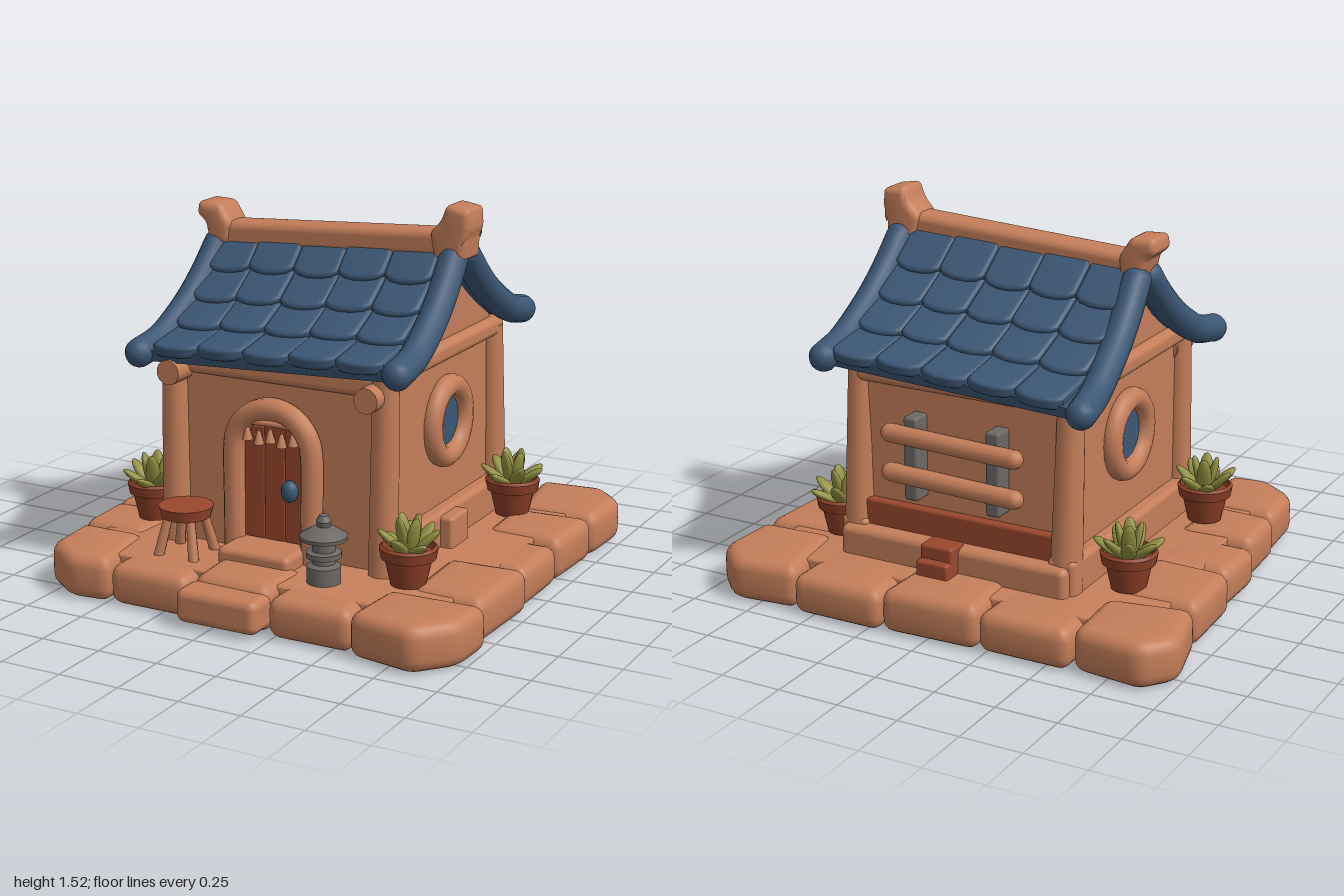
import * as THREE from 'three';
import { toCreasedNormals } from 'three/addons/utils/BufferGeometryUtils.js';
import { RoundedBoxGeometry } from 'three/addons/geometries/RoundedBoxGeometry.js';

const mat = (name, color) => Object.assign(new THREE.MeshStandardMaterial({ color }), { name });
const clay = mat('clay', 0xc47e5a);
const blue = mat('roof blue', 0x3c5775);
const red = mat('door red', 0x9a482e);
const potRed = mat('pot red', 0x8c3f27);
const green = mat('leaf green', 0x918f40);
const grey = mat('stone grey', 0x6c6866);
const V = (x, y, z) => new THREE.Vector3(x, y, z);

function add(parent, name, geo, material, x = 0, y = 0, z = 0) {
  const m = new THREE.Mesh(geo, material);
  m.name = name;
  m.position.set(x, y, z);
  parent.add(m);
  return m;
}

// Soft-edged box given by its two extreme corners
function block(parent, name, material, [x0, y0, z0], [x1, y1, z1], r = 0.02) {
  const g = new RoundedBoxGeometry(x1 - x0, y1 - y0, z1 - z0, 3, r);
  return add(parent, name, g, material, (x0 + x1) / 2, (y0 + y1) / 2, (z0 + z1) / 2);
}

// Round bar between two points
function rod(parent, name, material, a, b, r0, r1 = r0, sides = 14) {
  const d = b.clone().sub(a);
  const m = add(parent, name, new THREE.CylinderGeometry(r1, r0, d.length(), sides), material);
  m.position.copy(a).addScaledVector(d, 0.5);
  m.quaternion.setFromUnitVectors(V(0, 1, 0), d.normalize());
  return m;
}

// Polygon with rounded corners
function softShape(pts, r) {
  const s = new THREE.Shape();
  const P = pts.map(p => new THREE.Vector2(...p));
  P.forEach((p, i) => {
    const prev = P[(i + P.length - 1) % P.length], next = P[(i + 1) % P.length];
    const a = p.clone().add(prev.clone().sub(p).setLength(r));
    const b = p.clone().add(next.clone().sub(p).setLength(r));
    if (i) s.lineTo(a.x, a.y); else s.moveTo(a.x, a.y);
    s.quadraticCurveTo(p.x, p.y, b.x, b.y);
  });
  s.closePath();
  return s;
}

// Extrusion centred on its depth, with rounded edges that stay inside the outline
function solid(shape, depth, bevel) {
  const g = new THREE.ExtrudeGeometry(shape, {
    depth: depth - 2 * bevel, bevelEnabled: bevel > 0, bevelSize: bevel, bevelThickness: bevel,
    bevelOffset: -bevel, bevelSegments: 4, curveSegments: 5,
  });
  g.translate(0, 0, bevel - depth / 2);
  return toCreasedNormals(g, 0.75);
}

// Paving stone from a plan outline in x, z
function paver(parent, name, pts, y0, y1, bevel = 0.05) {
  const g = solid(softShape(pts.map(([x, z]) => [x, -z]), 0.05), y1 - y0, bevel);
  g.rotateX(-Math.PI / 2);
  return add(parent, name, g, clay, 0, (y0 + y1) / 2, 0);
}

function buildBase(root) {
  const base = new THREE.Group();
  base.name = 'base';
  root.add(base);
  paver(base, 'floor', [[-0.85, -0.75], [0.84, -0.78], [0.85, 0.75], [-0.7, 0.72]], 0.015, 0.165, 0.01);
  // Corner stones
  paver(base, 'cornerStone', [[-1, -0.78], [-0.9, -0.91], [-0.61, -0.88], [-0.59, -0.56], [-0.93, -0.5]], 0, 0.18);
  paver(base, 'cornerStone', [[0.58, -0.91], [0.86, -0.94], [0.98, -0.82], [0.97, -0.55], [0.64, -0.53]], 0, 0.18);
  paver(base, 'cornerStone', [[0.6, 0.58], [1, 0.57], [0.99, 0.78], [0.86, 0.93], [0.58, 0.88]], 0, 0.18);
  paver(base, 'cornerStone', [[-0.83, 0.49], [-0.53, 0.49], [-0.48, 0.84], [-0.66, 0.86], [-0.81, 0.75]], 0, 0.18);
  // Edge stones: x0, x1, z0, z1
  const edges = [
    [-0.6, -0.22, -0.9, -0.55], [-0.22, 0.19, -0.92, -0.55], [0.19, 0.58, -0.935, -0.55],
    [0.62, 0.97, -0.53, -0.2], [0.62, 0.96, -0.19, 0.14], [0.65, 0.98, 0.15, 0.56],
    [0.23, 0.58, 0.57, 0.86], [-0.13, 0.23, 0.55, 0.83], [-0.48, -0.13, 0.55, 0.84],
    [-0.86, -0.54, 0.18, 0.49], [-0.89, -0.55, -0.11, 0.17], [-0.93, -0.57, -0.5, -0.12],
  ];
  edges.forEach(([a, b, c, d], i) => {
    const k = 0.015 * (i % 2);
    paver(base, 'edgeStone', [[a, c + k], [b, c], [b - k, d], [a + k, d - k]], 0, 0.165 + k);
  });
  block(base, 'frontStep', clay, [-0.13, 0.02, 0.78], [0.22, 0.155, 0.925], 0.035);
  block(base, 'doorStep', clay, [-0.13, 0.14, 0.4], [0.185, 0.225, 0.615], 0.025);
}

// Roof slopes in z, y from ridge to eave
const slope = pts => new THREE.CatmullRomCurve3(pts.map(([z, y]) => V(0, y, z)));
const slopes = [
  slope([[-0.01, 1.29], [0.12, 1.15], [0.25, 1.05], [0.4, 0.97], [0.52, 0.945]]),
  slope([[-0.1, 1.29], [-0.25, 1.15], [-0.4, 1.05], [-0.55, 0.975], [-0.68, 0.945]]),
];

function buildHouse(root) {
  const house = new THREE.Group();
  house.name = 'house';
  root.add(house);
  // Gabled body following the roof underside
  const outline = [[-0.55, 0.1], [0.42, 0.1], [0.42, 0.93]];
  for (const t of [0.7, 0.5, 0.3, 0.1, 0]) { const p = slopes[0].getPointAt(t); outline.push([p.z, p.y - 0.01]); }
  for (const t of [0, 0.1, 0.3, 0.5, 0.7]) { const p = slopes[1].getPointAt(t); outline.push([p.z, p.y - 0.01]); }
  outline.push([-0.55, 0.93]);
  const body = solid(new THREE.Shape(outline.map(p => new THREE.Vector2(...p))), 0.93, 0);
  body.rotateY(-Math.PI / 2);
  add(house, 'walls', body, clay, 0.04, 0, 0);

  for (const [side, x] of [[-1, -0.42], [1, 0.5]]) {
    rod(house, 'frontPost', clay, V(x, 0.15, 0.43), V(x, 0.94, 0.42), 0.06, 0.052);
    rod(house, 'backPost', clay, V(x, 0.15, -0.56), V(x, 0.94, -0.52), 0.065, 0.052);
    block(house, 'gableBeam', clay, [x - 0.045, 0.895, -0.57], [x + 0.045, 0.975, 0.45], 0.03);
    rod(house, 'beamEnd', clay, V(x - side * 0.03, 0.865, 0.36), V(x - side * 0.03, 0.865, 0.53), 0.05);
    block(house, 'sidePlinth', clay, [x - 0.06, 0.12, -0.61], [x + 0.06, 0.305, 0.44], 0.025);
    // Round window
    const wx = x + side * 0.02;
    const ring = add(house, 'windowRing', new THREE.TorusGeometry(0.143, 0.044, 12, 36), clay, wx, 0.645, -0.08);
    ring.rotation.y = Math.PI / 2;
    const pane = add(house, 'windowPane', new THREE.CylinderGeometry(0.115, 0.115, 0.008, 32), blue, wx - side * 0.005, 0.645, -0.08);
    pane.rotation.z = Math.PI / 2;
  }
  block(house, 'sideBlock', clay, [0.5, 0.15, -0.105], [0.61, 0.29, 0.055], 0.015);
  block(house, 'frontBeam', clay, [-0.42, 0.85, 0.38], [0.5, 0.94, 0.45], 0.03);
  block(house, 'backBeam', clay, [-0.42, 0.86, -0.58], [0.5, 0.94, -0.5], 0.03);

  // Arched door
  const path = new THREE.CurvePath();
  const arch = [V(-0.14, 0.16, 0.45), V(-0.14, 0.37, 0.45)];
  for (let i = 0; i <= 10; i++) {
    const a = Math.PI * (1 - i / 10);
    arch.push(V(0.03 + 0.17 * Math.cos(a), 0.585 + 0.17 * Math.sin(a), 0.45));
  }
  arch.push(V(0.2, 0.37, 0.45), V(0.2, 0.16, 0.45));
  add(house, 'doorFrame', new THREE.TubeGeometry(new THREE.CatmullRomCurve3(arch), 60, 0.045, 10), clay);
  [[-0.1, 0.68], [-0.01, 0.725], [0.08, 0.69]].forEach(([x, top]) =>
    block(house, 'doorPlank', red, [x, 0.225, 0.41], [x + 0.09, top, 0.445], 0.006));
  const knob = add(house, 'doorKnob', new THREE.SphereGeometry(0.04, 16, 12), blue, 0.11, 0.44, 0.46);
  knob.scale.set(0.85, 1.1, 0.8);
  rod(house, 'tasselRail', clay, V(-0.1, 0.7, 0.465), V(0.16, 0.7, 0.465), 0.012);
  for (let i = 0; i < 5; i++)
    add(house, 'tassel', new THREE.ConeGeometry(0.022, 0.075, 8), clay, -0.07 + i * 0.05, 0.665 - 0.012 * Math.abs(i % 2), 0.468);

  // Back wall fittings
  block(house, 'backPlinth', clay, [-0.46, 0.1, -0.65], [0.54, 0.28, -0.5], 0.03);
  block(house, 'backSkirting', red, [-0.4, 0.24, -0.585], [0.48, 0.385, -0.5], 0.012);
  for (const x of [-0.14, 0.22])
    block(house, 'rackPost', grey, [x - 0.03, 0.43, -0.63], [x + 0.03, 0.77, -0.54], 0.012);
  for (const y of [0.53, 0.69]) {
    const log = add(house, 'rackRail', new THREE.CapsuleGeometry(0.038, 0.54, 4, 12), clay, 0.035, y, -0.632);
    log.rotation.z = Math.PI / 2 + 0.03;
  }
  block(house, 'backBlock', red, [0, 0.16, -0.735], [0.14, 0.24, -0.6], 0.012);
  block(house, 'backBlockTop', red, [0, 0.2, -0.7], [0.14, 0.295, -0.6], 0.012);
}

function buildRoof(root) {
  const roof = new THREE.Group();
  roof.name = 'roof';
  roof.rotation.z = 0.045;
  roof.position.x = 0.05;
  root.add(roof);
  // Tile with a rounded lower end, reaching up from y = 0
  const w = 0.1, tile = new THREE.Shape();
  tile.moveTo(-w, 0.045);
  tile.bezierCurveTo(-w * 0.8, -0.005, w * 0.8, -0.005, w, 0.045);
  tile.lineTo(w, 0.25);
  tile.lineTo(-w, 0.25);
  const tileGeo = solid(tile, 0.05, 0.016);

  slopes.forEach((curve, side) => {
    const sx = side ? -1 : 1, X = V(sx, 0, 0);
    const normalAt = t => X.clone().cross(curve.getTangentAt(t).negate());
    // Underlay sheet
    const up = [], down = [];
    for (let i = 0; i <= 12; i++) {
      const p = curve.getPointAt(i / 12), n = normalAt(i / 12);
      up.push(new THREE.Vector2(p.z + n.z * 0.02, p.y + n.y * 0.02));
      down.unshift(new THREE.Vector2(p.z - n.z * 0.025, p.y - n.y * 0.025));
    }
    const sheet = solid(new THREE.Shape([...up, ...down]), 1.05, 0);
    sheet.rotateY(-Math.PI / 2);
    add(roof, 'roofSheet', sheet, blue, 0.03, 0, 0);
    // Overlapping tile rows
    for (let row = 0; row < 4; row++) {
      const t1 = (row + 1) / 4, t0 = row / 4;
      const low = curve.getPointAt(t1).addScaledVector(normalAt(t1), 0.028);
      if (row === 3) low.addScaledVector(curve.getTangentAt(1), 0.03);
      const U = curve.getPointAt(t0).addScaledVector(normalAt(t0), 0.012).sub(low).normalize();
      const N = X.clone().cross(U);
      for (let c = 0; c < 5; c++) {
        const m = add(roof, 'roofTile', tileGeo, blue);
        m.quaternion.setFromRotationMatrix(new THREE.Matrix4().makeBasis(X, U, N));
        m.position.copy(low).addScaledVector(N, 0.005 * (c % 2));
        m.position.x = -0.37 + c * 0.2;
      }
    }
    // Rounded verge rolls
    for (const [xTop, xLow] of [[-0.47, -0.53 - 0.02 * side], [0.58, 0.59 - 0.03 * side]]) {
      const pts = [0, 0.2, 0.4, 0.6, 0.8, 1].map(t => {
        const p = curve.getPointAt(t).addScaledVector(normalAt(t), 0.008);
        p.x = xTop + (xLow - xTop) * t;
        return p;
      });
      add(roof, 'vergeRoll', new THREE.TubeGeometry(new THREE.CatmullRomCurve3(pts), 24, 0.058, 12), blue);
      for (const p of [pts[0], pts[5]]) add(roof, 'vergeEnd', new THREE.SphereGeometry(0.058, 14, 10), blue, p.x, p.y, p.z);
    }
  });
  // Ridge and its upturned ends
  const ridge = block(root, 'ridge', clay, [-0.49, 1.285, -0.105], [0.6, 1.395, 0.025], 0.035);
  ridge.position.y = 1.342;
  ridge.rotation.z = 0.055;
  const ends = [
    [[-0.5, 1.26], [-0.41, 1.28], [-0.4, 1.36], [-0.45, 1.44], [-0.55, 1.445], [-0.56, 1.39], [-0.52, 1.36]],
    [[0.5, 1.31], [0.63, 1.31], [0.635, 1.4], [0.65, 1.43], [0.645, 1.51], [0.55, 1.525], [0.525, 1.46], [0.48, 1.41]],
  ];
  for (const pts of ends) add(root, 'ridgeEnd', solid(softShape(pts, 0.02), 0.16, 0.03), clay, 0, 0, -0.042);
}

function buildPlant(root, x, y, z, turn) {
  const plant = new THREE.Group();
  plant.name = 'pottedPlant';
  plant.position.set(x, y, z);
  plant.rotation.y = turn;
  root.add(plant);
  const profile = [[0, 0], [0.068, 0], [0.09, 0.1], [0.105, 0.105], [0.112, 0.145], [0.1, 0.155], [0.088, 0.13], [0, 0.128]];
  const pot = new THREE.LatheGeometry(profile.map(p => new THREE.Vector2(...p)), 24);
  add(plant, 'pot', toCreasedNormals(pot, 0.6), potRed);
  // Outer and inner rings of leaves
  for (let i = 0; i < 11; i++) {
    const inner = i > 6, stem = new THREE.Group();
    stem.name = 'leafStem';
    stem.position.y = 0.12;
    stem.rotation.set(0, i * (inner ? 1.57 : 0.9), inner ? -0.25 : -0.8 - 0.12 * (i % 3), 'YXZ');
    plant.add(stem);
    const leaf = add(stem, 'leaf', new THREE.SphereGeometry(0.08, 10, 8), green, 0.01, 0.075, 0);
    leaf.scale.set(0.22, 1, 0.38);
  }
}

function buildProps(root) {
  buildPlant(root, -0.6, 0.185, 0.31, 0.3);
  buildPlant(root, 0.635, 0.17, 0.49, 1.1);
  buildPlant(root, -0.62, 0.17, -0.43, 2);
  buildPlant(root, 0.64, 0.17, -0.46, 2.7);
  // Stool
  add(root, 'stoolSeat', toCreasedNormals(new THREE.CylinderGeometry(0.108, 0.095, 0.045, 24), 0.6), red, -0.29, 0.335, 0.57);
  for (let i = 0; i < 4; i++) {
    const c = Math.cos(i * 1.571 + 0.78), s = Math.sin(i * 1.571 + 0.78);
    rod(root, 'stoolLeg', clay, V(-0.29 + 0.115 * c, 0.15, 0.57 + 0.115 * s), V(-0.29 + 0.07 * c, 0.32, 0.57 + 0.07 * s), 0.022, 0.018, 8);
  }
  // Stone lantern
  const lantern = [[0, 0], [0.066, 0], [0.066, 0.07], [0.045, 0.08], [0.045, 0.1], [0.068, 0.105], [0.068, 0.125],
    [0.045, 0.13], [0.045, 0.17], [0.09, 0.175], [0.092, 0.19], [0.045, 0.22], [0.025, 0.225], [0.03, 0.245], [0.018, 0.268], [0, 0.275]];
  add(root, 'lantern', toCreasedNormals(new THREE.LatheGeometry(lantern.map(p => new THREE.Vector2(...p)), 20), 0.5), grey, 0.34, 0.16, 0.61);
}

export function createModel() {
  const root = new THREE.Group();
  root.name = 'gardenHouse';
  buildBase(root);
  buildHouse(root);
  buildRoof(root);
  buildProps(root);
  return root;
}
